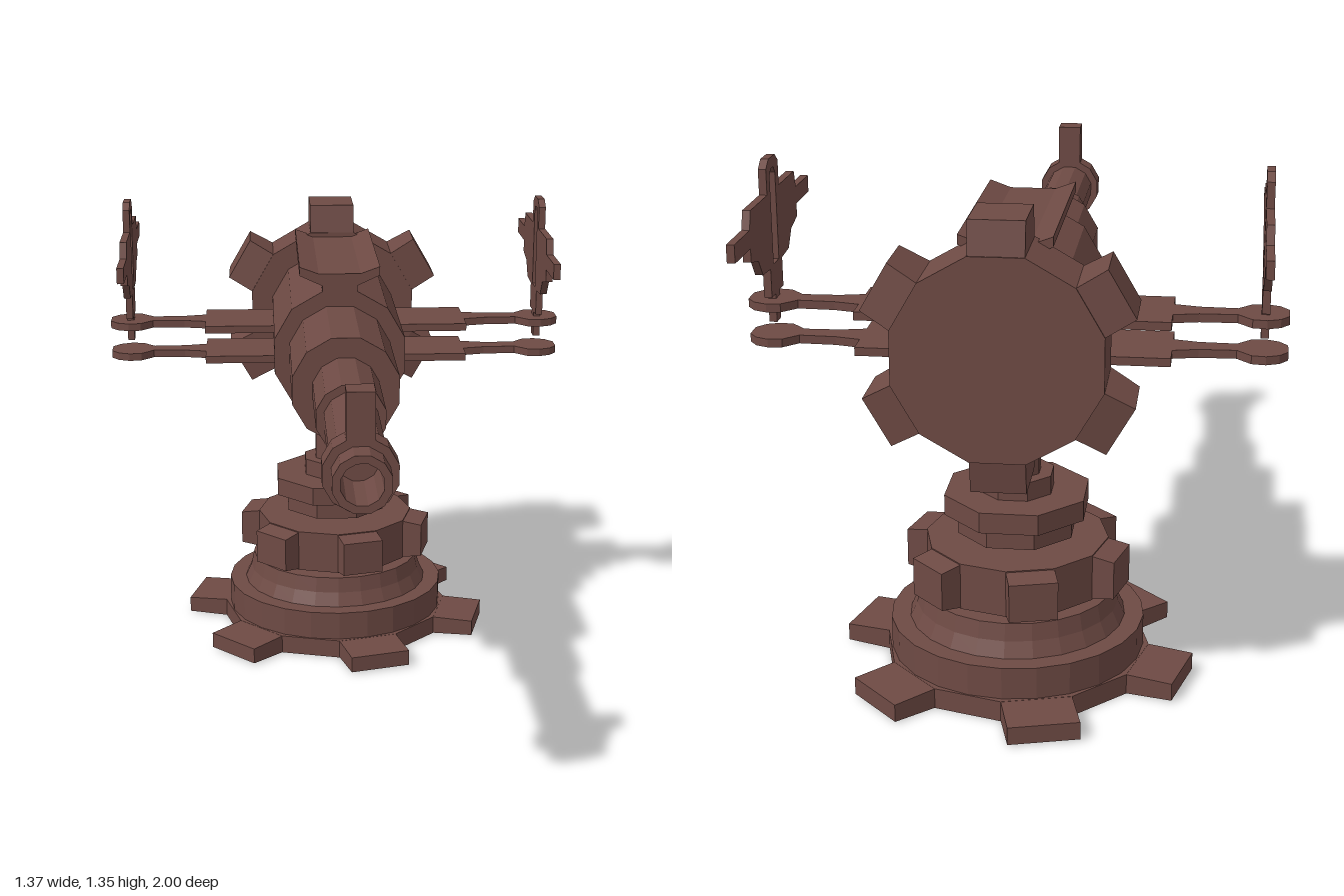
import * as THREE from 'three';

const material = new THREE.MeshStandardMaterial({ color: 0x6e4a44, flatShading: true });
const AXIS_Z = -0.53; // vertical axis of the pedestal
const BARREL_Y = 0.96; // height of the barrel axis

function add(parent, name, geometry) {
  const mesh = new THREE.Mesh(geometry, material);
  mesh.name = name;
  parent.add(mesh);
  return mesh;
}

const points = (list) => list.map(([x, y]) => new THREE.Vector2(x, y));

// Twelve-sided disc whose alternate sides grow into tapered teeth
function makeGear(name, radius, tip, height, taper) {
  const gear = new THREE.Group();
  gear.name = name;
  add(gear, name + 'Body', new THREE.CylinderGeometry(radius, radius, height, 12));
  const inner = radius * Math.cos(Math.PI / 12) - 0.02;
  const width = 2 * radius * Math.sin(Math.PI / 12);
  for (let i = 0; i < 6; i++) {
    const tooth = new THREE.BoxGeometry(tip - inner, height, width);
    const pos = tooth.attributes.position;
    for (let v = 0; v < pos.count; v++) {
      if (pos.getX(v) > 0) pos.setY(v, pos.getY(v) - Math.sign(pos.getY(v)) * taper);
    }
    tooth.translate((tip + inner) / 2, 0, 0);
    tooth.rotateY(Math.PI / 4 + (i * Math.PI) / 3);
    add(gear, name + 'Tooth', tooth);
  }
  return gear;
}

// Eight-sided tier of the pedestal with a flat side to the front
function addTier(parent, name, radius, y0, y1) {
  const geometry = new THREE.CylinderGeometry(radius, radius, y1 - y0, 8);
  geometry.rotateY(Math.PI / 8);
  geometry.translate(0, (y0 + y1) / 2, 0);
  add(parent, name, geometry);
}

function makePedestal() {
  const pedestal = new THREE.Group();
  pedestal.name = 'pedestal';
  pedestal.position.z = AXIS_Z;

  const foot = makeGear('foot', 0.35, 0.46, 0.055, 0.004);
  foot.position.y = 0.0275;
  const turntable = makeGear('turntable', 0.24, 0.29, 0.125, 0.012);
  turntable.position.y = 0.2975;
  pedestal.add(foot, turntable);

  // Ring and flared drum
  add(pedestal, 'drum', new THREE.LatheGeometry(points([
    [0, 0.05], [0.335, 0.05], [0.335, 0.14], [0.285, 0.14], [0.267, 0.18], [0.258, 0.225], [0, 0.225],
  ]), 24));

  // Stacked tiers up to the pole
  addTier(pedestal, 'spindle', 0.08, 0.22, 0.39);
  addTier(pedestal, 'lowerCollar', 0.16, 0.38, 0.435);
  addTier(pedestal, 'upperCollar', 0.195, 0.435, 0.49);
  addTier(pedestal, 'poleSocket', 0.1, 0.49, 0.54);
  addTier(pedestal, 'poleBase', 0.065, 0.54, 0.665);
  addTier(pedestal, 'pole', 0.034, 0.66, 0.8);
  return pedestal;
}

function makeBarrel() {
  const barrel = new THREE.Group();
  barrel.name = 'barrel';
  barrel.position.y = BARREL_Y;

  // Stepped tube with a hollow muzzle, axis along z
  const tube = new THREE.LatheGeometry(points([
    [0, -0.75], [0.195, -0.75], [0.195, -0.16], [0.15, -0.16], [0.15, 0.21], [0.093, 0.21],
    [0.093, 0.48], [0.072, 0.48], [0.072, 1], [0.052, 1], [0.052, 0.82], [0, 0.82],
  ]), 12, Math.PI / 12);
  add(barrel, 'tube', tube.rotateX(Math.PI / 2));

  // Muzzle ring and its upright sight
  const ring = new THREE.CylinderGeometry(0.093, 0.093, 0.07, 12, 1, true, Math.PI / 12);
  const ringFaces = new THREE.LatheGeometry(points([
    [0.065, -0.035], [0.093, -0.035], [0.093, 0.035], [0.065, 0.035],
  ]), 12, Math.PI / 12);
  ring.dispose();
  add(barrel, 'muzzleRing', ringFaces.rotateX(Math.PI / 2).translate(0, 0, 0.895));
  add(barrel, 'frontSight', new THREE.BoxGeometry(0.068, 0.13, 0.07).translate(0, 0.135, 0.895));

  // Toothed breech at the rear
  const breech = makeGear('breech', 0.262, 0.336, 0.2, 0.02);
  breech.rotation.set(Math.PI / 2, -Math.PI / 12, 0);
  breech.position.z = -0.81;
  barrel.add(breech);

  // Trough-shaped plate along the top
  const half = [[0.05, 0.18], [0.05, 0.205], [0.115, 0.235], [0.115, 0.26], [0.06, 0.24]];
  const outline = [...half, ...half.map(([x, y]) => [-x, y]).reverse()];
  const plate = new THREE.ExtrudeGeometry(new THREE.Shape(points(outline)), { depth: 0.58, bevelEnabled: false });
  add(barrel, 'topPlate', plate.translate(0, 0, -0.74));
  return barrel;
}

// Arm outline: wide root plate, narrow neck, octagonal end
function armGeometry() {
  const edge = [[0.1, 0.11], [0.395, 0.11], [0.395, 0.045], [0.46, 0.03], [0.555, 0.027]];
  for (let i = 0; i < 4; i++) {
    const a = Math.PI * (0.625 - i * 0.1666);
    edge.push([0.618 + 0.07 * Math.cos(a), 0.07 * Math.sin(a)]);
  }
  const outline = [...edge, ...edge.map(([x, y]) => [x, -y]).reverse()];
  return new THREE.ExtrudeGeometry(new THREE.Shape(points(outline)), { depth: 0.022, bevelEnabled: false })
    .rotateX(-Math.PI / 2);
}

// Upright slotted vane with wings and thin end bars
function vaneGeometry() {
  const half = [
    [0.02, 0.925], [0.02, 1.0], [0.058, 1.0], [0.058, 1.075], [0.13, 1.08], [0.165, 1.125], [0.23, 1.14],
    [0.23, 1.175], [0.365, 1.175], [0.365, 1.22], [0.23, 1.22], [0.215, 1.265], [0.058, 1.265],
    [0.058, 1.33], [0.03, 1.35],
  ];
  const shape = new THREE.Shape(points([...half, ...half.map(([x, y]) => [-x, y]).reverse()]));
  shape.holes.push(new THREE.Path(points([
    [-0.026, 1.08], [-0.026, 1.305], [-0.012, 1.322], [0.012, 1.322], [0.026, 1.305], [0.026, 1.08],
  ])));
  return new THREE.ExtrudeGeometry(shape, { depth: 0.02, bevelEnabled: false })
    .rotateY(-Math.PI / 2).translate(0.01, 0, 0);
}

export function createModel() {
  const model = new THREE.Group();
  model.name = 'turret';
  model.add(makePedestal(), makeBarrel());

  // Paired arms and a vane on each side
  for (const side of [-1, 1]) {
    const mount = new THREE.Group();
    mount.name = side > 0 ? 'leftMount' : 'rightMount';
    mount.position.z = AXIS_Z;
    mount.rotation.y = side > 0 ? 0 : Math.PI;
    add(mount, 'upperArm', armGeometry()).position.y = 0.965;
    add(mount, 'lowerArm', armGeometry()).position.y = 0.872;
    add(mount, 'vane', vaneGeometry()).position.x = 0.623;
    model.add(mount);
  }
  return model;
}
